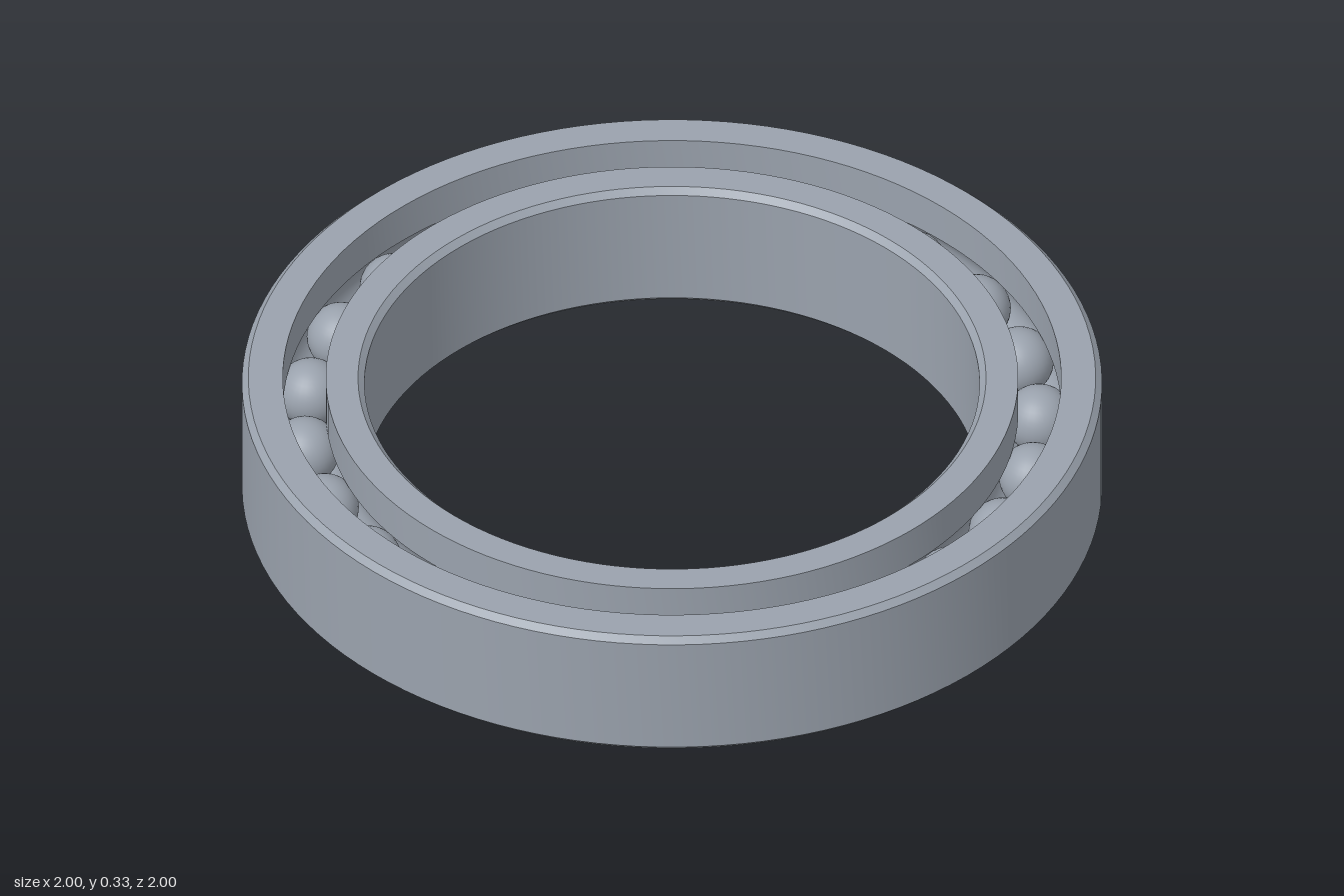
import * as THREE from 'three';
import { toCreasedNormals } from 'three/addons/utils/BufferGeometryUtils.js';

const HEIGHT = 0.33, MID = HEIGHT / 2;
const PITCH = 0.855;          // radius of the ball circle
const BALL = 0.08, GROOVE = 0.082;
const HALF_GAP = 0.05;        // half the opening between the rings
const CHAMFER = 0.015;
const BALL_COUNT = 24;

// Raceway groove as an arc around the ball centre
function groove(from, to, steps = 12) {
  return Array.from({ length: steps + 1 }, (_, i) => {
    const a = from + (to - from) * i / steps;
    return [PITCH + GROOVE * Math.cos(a), MID + GROOVE * Math.sin(a)];
  });
}

// Revolve a closed counter-clockwise (radius, height) profile
function ring(name, profile, material) {
  const points = [...profile, profile[0]].map(([r, y]) => new THREE.Vector2(r, y));
  const geometry = toCreasedNormals(new THREE.LatheGeometry(points, 128), 0.5);
  const mesh = new THREE.Mesh(geometry, material);
  mesh.name = name;
  return mesh;
}

export function createModel() {
  const model = new THREE.Group();
  model.name = 'ballBearing';
  const steel = new THREE.MeshStandardMaterial({ color: 0x9aa2ad });
  steel.name = 'steel';

  const edge = Math.acos(HALF_GAP / GROOVE);
  const top = HEIGHT, c = CHAMFER;

  // Outer ring: chamfered outside, grooved inside
  const outerLip = PITCH + HALF_GAP;
  model.add(ring('outerRing', [
    [1 - c, 0], [1, c], [1, top - c], [1 - c, top],
    [outerLip, top], ...groove(edge, -edge), [outerLip, 0],
  ], steel));

  // Inner ring: grooved outside, chamfered bore
  const innerLip = PITCH - HALF_GAP, bore = 0.715;
  model.add(ring('innerRing', [
    [innerLip, 0], ...groove(Math.PI + edge, Math.PI - edge), [innerLip, top],
    [bore + c, top], [bore, top - c], [bore, c], [bore + c, 0],
  ], steel));

  // Balls evenly spaced between the raceways
  const balls = new THREE.Group();
  balls.name = 'balls';
  const ballGeometry = new THREE.SphereGeometry(BALL, 32, 20);
  for (let i = 0; i < BALL_COUNT; i++) {
    const a = (i / BALL_COUNT) * Math.PI * 2 - 0.053;
    const ball = new THREE.Mesh(ballGeometry, steel);
    ball.name = `ball${i + 1}`;
    ball.position.set(PITCH * Math.cos(a), MID, PITCH * Math.sin(a));
    balls.add(ball);
  }
  model.add(balls);

  return model;
}
